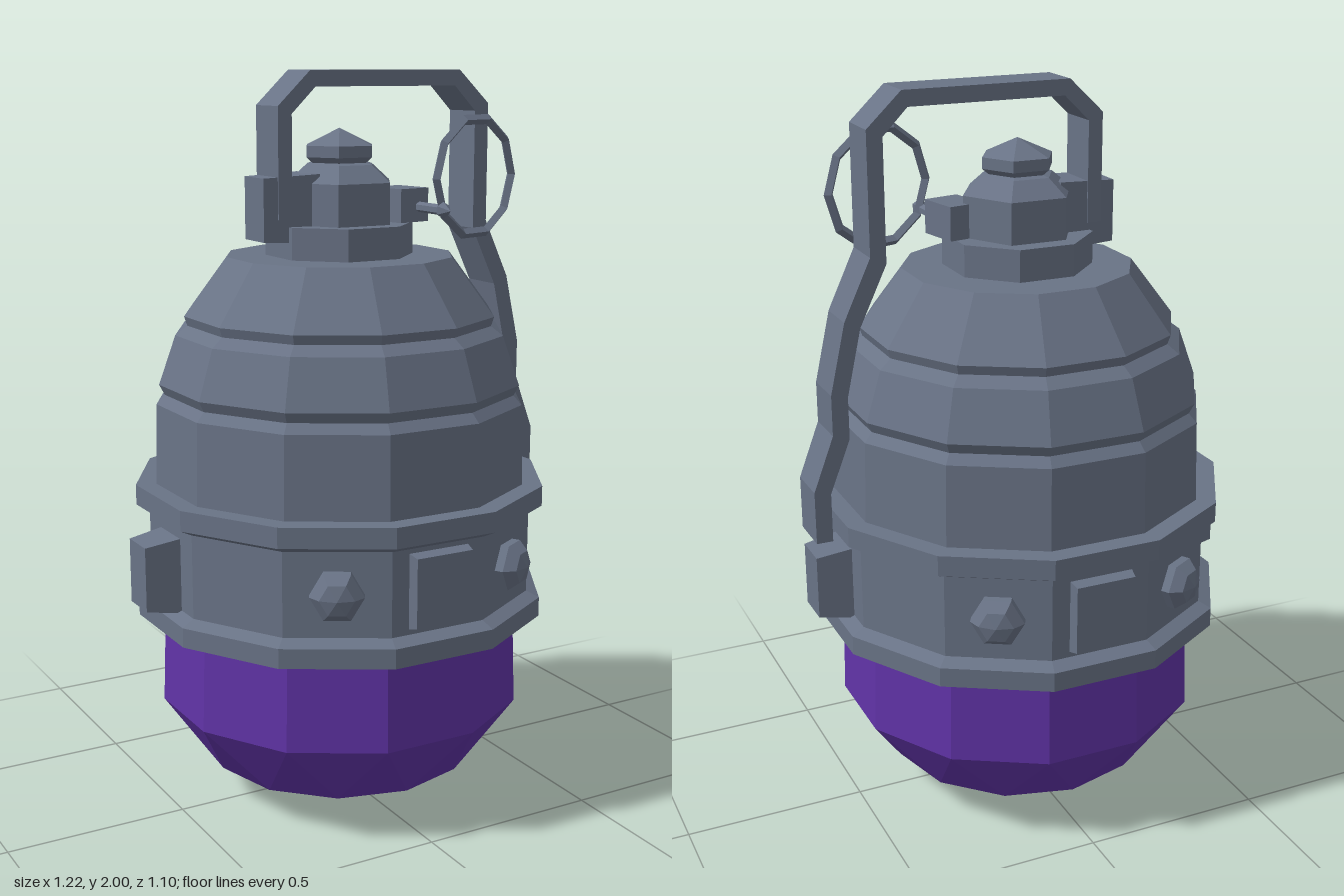
import * as THREE from 'three';

const steel = new THREE.MeshStandardMaterial({ color: 0x697386, flatShading: true });
steel.name = 'blue grey steel';
const violet = new THREE.MeshStandardMaterial({ color: 0x6033a6, flatShading: true });
violet.name = 'violet';

const add = (parent, name, geometry, material = steel) => {
  const mesh = new THREE.Mesh(geometry, material);
  mesh.name = name;
  parent.add(mesh);
  return mesh;
};

// Twelve-sided turned part; radii are measured to the flats, which face x and z
const turned = (profile) => new THREE.LatheGeometry(
  profile.map(([r, y]) => new THREE.Vector2(r / Math.cos(Math.PI / 12), y)), 12, Math.PI / 12);

// Block whose outer (+z) face is smaller than its base at z = 0
const taperedBlock = (w, h, depth, topW, topH) => {
  const g = new THREE.BoxGeometry(w, h, depth).translate(0, 0, depth / 2);
  const p = g.attributes.position;
  for (let i = 0; i < p.count; i++) {
    if (p.getZ(i) > depth / 2) p.setXY(i, p.getX(i) * topW / w, p.getY(i) * topH / h);
  }
  return g;
};

export function createModel() {
  const model = new THREE.Group();
  model.name = 'grenade';

  // Faceted bowl: lower rings are turned half a step to make triangles
  const bowl = turned([[0, 0], [0.165, 0], [0.36, 0.095], [0.49, 0.28], [0.48, 0.55]]);
  const p = bowl.attributes.position;
  const v = new THREE.Vector3();
  const up = new THREE.Vector3(0, 1, 0);
  for (let i = 0; i < p.count; i++) {
    v.fromBufferAttribute(p, i);
    if (v.y < 0.2) v.applyAxisAngle(up, -Math.PI / 12);
    p.setXYZ(i, v.x, v.y, v.z);
  }
  add(model, 'bowl', bowl, violet);

  // Stepped shell and flanged waist band
  add(model, 'shell', turned([
    [0.497, 0.88], [0.49, 1.125], [0.468, 1.15], [0.482, 1.178], [0.437, 1.31],
    [0.405, 1.335], [0.413, 1.36], [0.3, 1.515], [0, 1.515],
  ]));
  add(model, 'waistBand', turned([
    [0.46, 0.535], [0.55, 0.535], [0.55, 0.588], [0.515, 0.605], [0.515, 0.832],
    [0.55, 0.85], [0.55, 0.905], [0.48, 0.905],
  ]));

  // Plates and side lugs, then domed hex bolts around the band
  for (const side of [0, 1]) {
    const plate = add(model, 'bandPlate', taperedBlock(0.18, 0.205, 0.04, 0.165, 0.185));
    plate.position.set(0, 0.72, side ? -0.505 : 0.505);
    plate.rotation.y = side * Math.PI;

    const lug = add(model, 'sideLug', taperedBlock(0.13, 0.21, 0.11, 0.105, 0.175));
    lug.position.set(side ? -0.5 : 0.5, 0.7, 0);
    lug.rotation.y = side ? -Math.PI / 2 : Math.PI / 2;
  }
  for (const angle of [30, 150, 210, 330]) {
    const bolt = add(model, 'bolt', new THREE.LatheGeometry(
      [[0.07, 0], [0.07, 0.03], [0.045, 0.058], [0, 0.07]].map(([r, y]) => new THREE.Vector2(r, y)),
      6, Math.PI / 2).rotateX(Math.PI / 2));
    bolt.position.set(0, 0.72, 0.508).applyAxisAngle(up, angle * Math.PI / 180);
    bolt.rotation.y = angle * Math.PI / 180;
  }

  // Fuse: octagonal collar, hexagonal housing and pointed cap
  add(model, 'fuseCollar', new THREE.CylinderGeometry(0.2, 0.2, 0.09, 8, 1, false, Math.PI / 8)
    .translate(0, 1.555, 0));
  add(model, 'fuseHousing', new THREE.LatheGeometry(
    [[0.155, 1.59], [0.155, 1.71], [0.1, 1.755], [0.082, 1.76], [0.1, 1.775], [0.1, 1.805], [0, 1.85]]
      .map(([r, y]) => new THREE.Vector2(r, y)), 6, Math.PI / 2));
  const clip = add(model, 'leverClip', taperedBlock(0.13, 0.18, 0.16, 0.11, 0.165));
  clip.position.set(-0.095, 1.645, 0);
  clip.rotation.y = -Math.PI / 2;

  // Bent safety lever
  const outline = [
    [-0.215, 1.62], [-0.215, 1.91], [-0.12, 2], [0.34, 2], [0.435, 1.91], [0.435, 1.59],
    [0.51, 1.43], [0.553, 1.24], [0.553, 1.13], [0.61, 0.98], [0.61, 0.835],
    [0.565, 0.835], [0.565, 0.97], [0.508, 1.115], [0.508, 1.23], [0.468, 1.41],
    [0.392, 1.57], [0.392, 1.89], [0.325, 1.958], [-0.105, 1.958], [-0.175, 1.89], [-0.175, 1.62],
  ].map(([x, y]) => new THREE.Vector2(x, y));
  add(model, 'safetyLever', new THREE.ExtrudeGeometry(new THREE.Shape(outline),
    { depth: 0.125, bevelEnabled: false }).translate(0, 0, -0.0635));

  // Pin with its boss and pull ring
  const boss = add(model, 'pinBoss', new THREE.BoxGeometry(0.1, 0.09, 0.12));
  boss.position.set(0.165, 1.645, 0.04);
  boss.rotation.y = 0.2;
  add(model, 'pin', new THREE.LatheGeometry(
    [[0.014, 0.06], [0.014, 0.2], [0.022, 0.215], [0, 0.25]].map(([r, y]) => new THREE.Vector2(r, y)), 6)
    .rotateX(Math.PI / 2).translate(0.193, 1.64, 0));
  const ring = add(model, 'pullRing', new THREE.TorusGeometry(0.158, 0.014, 4, 10));
  ring.position.set(0.33, 1.72, 0.157);
  ring.rotation.y = 0.29;

  return model;
}
